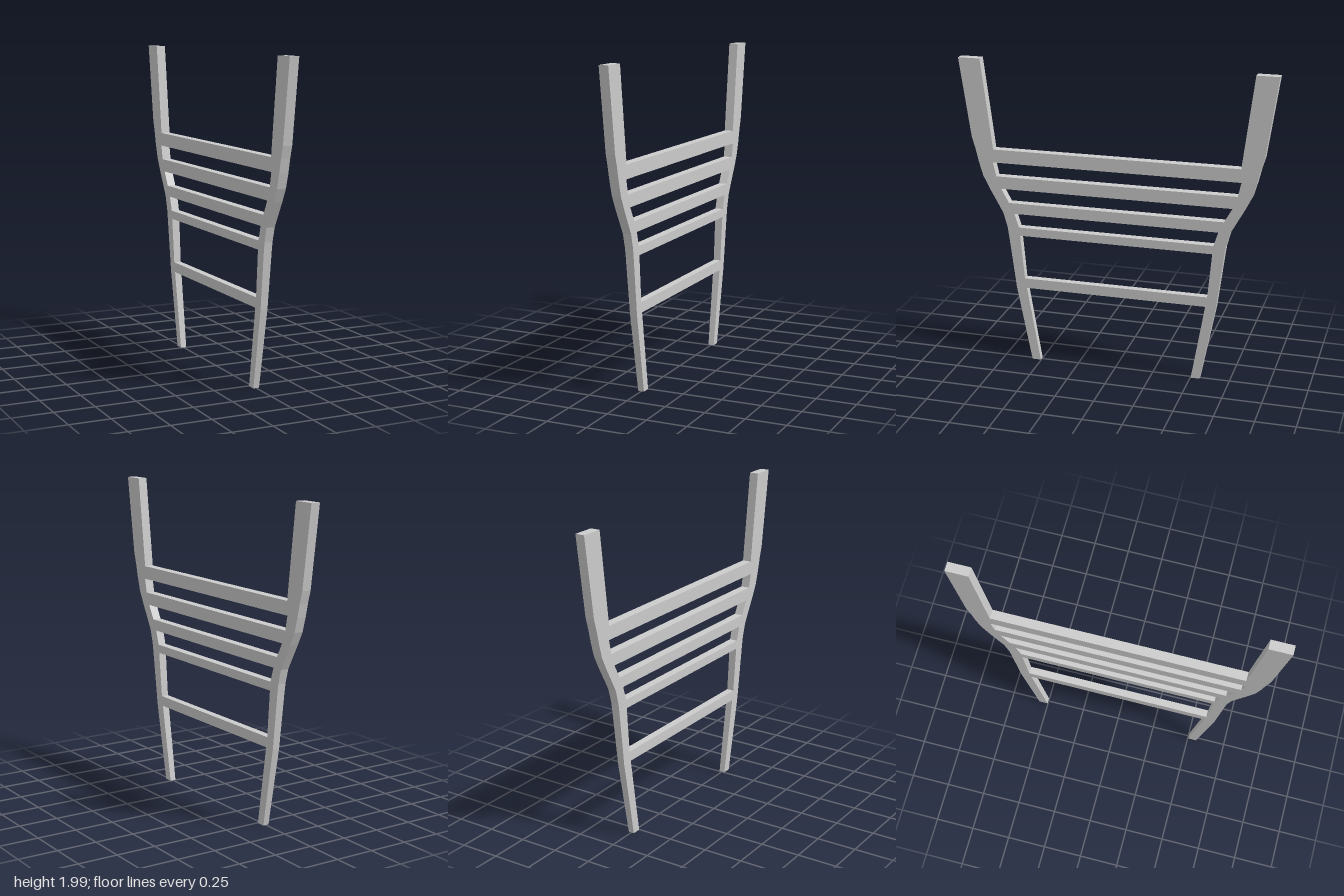
import * as THREE from 'three';

// Side profile of a post: height, inner edge, outer edge
const PROFILE = [
  [0, 0.503, 0.56], [0.5, 0.587, 0.655], [0.565, 0.598, 0.663],
  [0.855, 0.624, 0.699], [0.91, 0.63, 0.707], [1.0, 0.658, 0.732],
  [1.07, 0.692, 0.77], [1.16, 0.742, 0.82], [1.24, 0.772, 0.86],
  [1.33, 0.792, 0.886], [1.415, 0.788, 0.906], [1.49, 0.797, 0.928],
  [1.99, 0.859, 1.0],
];

// Half thickness grows from the foot up to the top rail
const halfThickness = (y) => 0.019 + 0.0105 * Math.min(y / 1.33, 1);

// Closed bar through rectangular sections [y, zMin, zMax], from bottom to top
function loftBar(name, sections, material) {
  const positions = [];
  const index = [];
  for (const [y, z0, z1] of sections) {
    const w = halfThickness(y);
    positions.push(w, y, z1, w, y, z0, -w, y, z0, -w, y, z1);
  }
  for (let i = 0; i < sections.length - 1; i++) {
    for (let k = 0; k < 4; k++) {
      const a = i * 4 + k;
      const b = i * 4 + ((k + 1) % 4);
      index.push(a, b, b + 4, a, b + 4, a + 4);
    }
  }
  const t = (sections.length - 1) * 4;
  index.push(t, t + 1, t + 2, t, t + 2, t + 3, 0, 2, 1, 0, 3, 2);

  const indexed = new THREE.BufferGeometry();
  indexed.setAttribute('position', new THREE.Float32BufferAttribute(positions, 3));
  indexed.setIndex(index);
  const geometry = indexed.toNonIndexed();
  geometry.computeVertexNormals();
  const mesh = new THREE.Mesh(geometry, material);
  mesh.name = name;
  return mesh;
}

export function createModel() {
  const group = new THREE.Group();
  group.name = 'ladderFrame';
  const material = new THREE.MeshStandardMaterial({ color: 0xcccccc, flatShading: true });

  // Two mirrored, curved posts
  group.add(loftBar('frontPost', PROFILE, material));
  group.add(loftBar('backPost', PROFILE.map(([y, i, o]) => [y, -o, -i]), material));

  // Rails span between the inner edges; each fills one profile segment
  [1, 3, 5, 7, 9].forEach((start, n) => {
    const sections = [PROFILE[start], PROFILE[start + 1]].map(([y, i]) => [y, -i, i]);
    group.add(loftBar(`rail${n + 1}`, sections, material));
  });

  return group;
}
